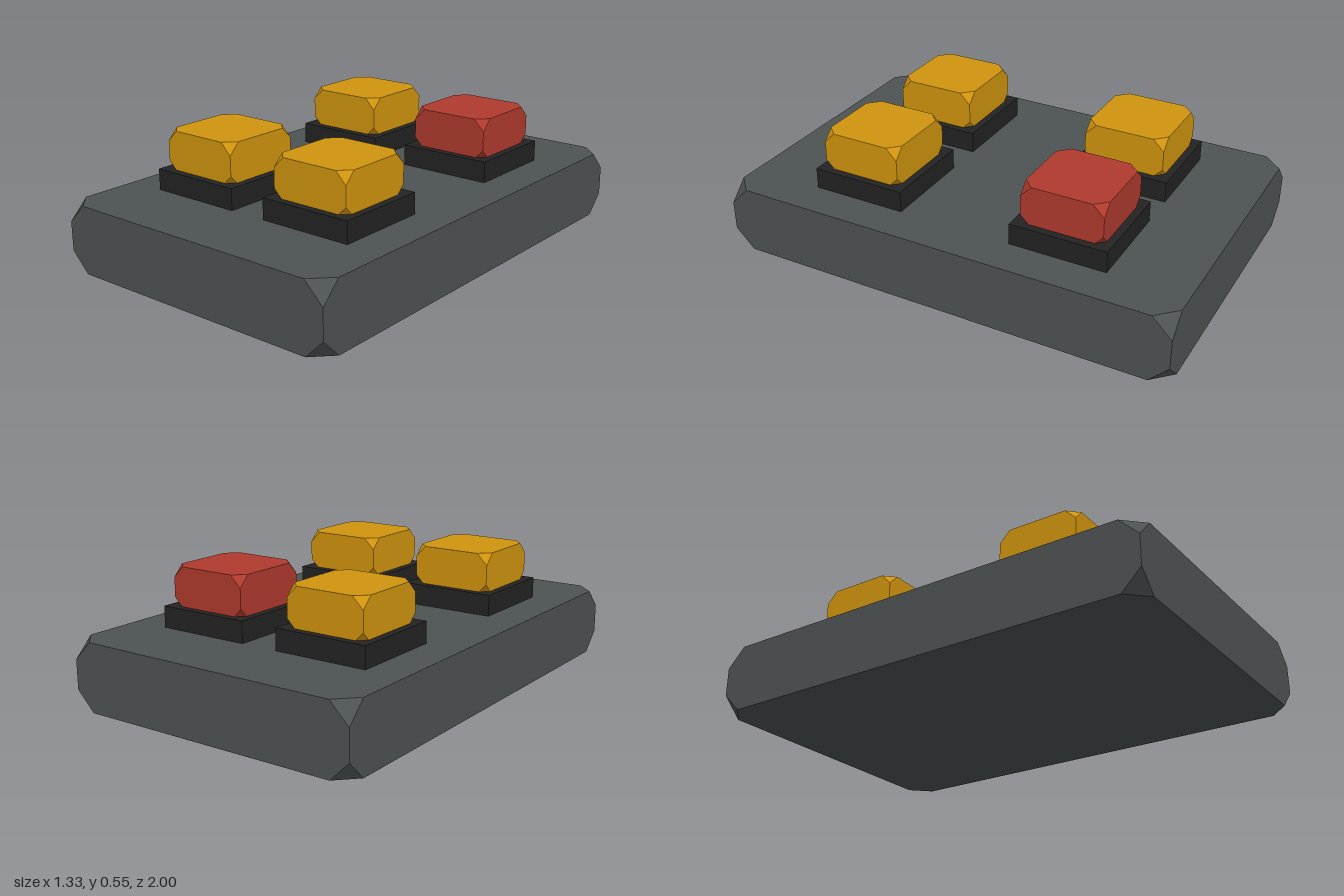
import * as THREE from 'three';
import { ConvexGeometry } from 'three/addons/geometries/ConvexGeometry.js';

// Box with straight edges whose eight corners are sliced off by a distance c
function cutCornerBox(w, h, d, c) {
  const points = [];
  for (const sx of [-1, 1]) for (const sy of [-1, 1]) for (const sz of [-1, 1]) {
    const x = w / 2, y = h / 2, z = d / 2;
    points.push(
      new THREE.Vector3(sx * (x - c), sy * y, sz * z),
      new THREE.Vector3(sx * x, sy * (y - c), sz * z),
      new THREE.Vector3(sx * x, sy * y, sz * (z - c))
    );
  }
  return new ConvexGeometry(points);
}

function material(name, color) {
  const m = new THREE.MeshStandardMaterial({ color, flatShading: true });
  m.name = name;
  return m;
}

export function createModel() {
  const group = new THREE.Group();
  group.name = 'buttonPad';

  const slate = material('slate grey', 0x4d5252);
  const black = material('soft black', 0x232323);
  const amber = material('amber', 0xd0940e);
  const red = material('brick red', 0xb03a2e);

  const add = (name, geometry, mat, x, y, z) => {
    const mesh = new THREE.Mesh(geometry, mat);
    mesh.name = name;
    mesh.position.set(x, y, z);
    group.add(mesh);
  };

  // Base slab
  add('base', cutCornerBox(1.333, 0.292, 2, 0.083), slate, 0, 0.146, 0);

  // Four sockets, each holding a button; the back left one is red
  const socket = new THREE.BoxGeometry(0.417, 0.103, 0.417);
  const button = cutCornerBox(0.352, 0.18, 0.352, 0.048);
  for (const [side, x] of [['Left', 0.2917], ['Right', -0.2917]]) {
    for (const [end, z] of [['front', 0.4583], ['back', -0.4583]]) {
      const isRed = side === 'Left' && end === 'back';
      add(`${end}${side}Socket`, socket, black, x, 0.3315, z);
      add(`${end}${side}Button`, button, isRed ? red : amber, x, 0.46, z);
    }
  }
  return group;
}
